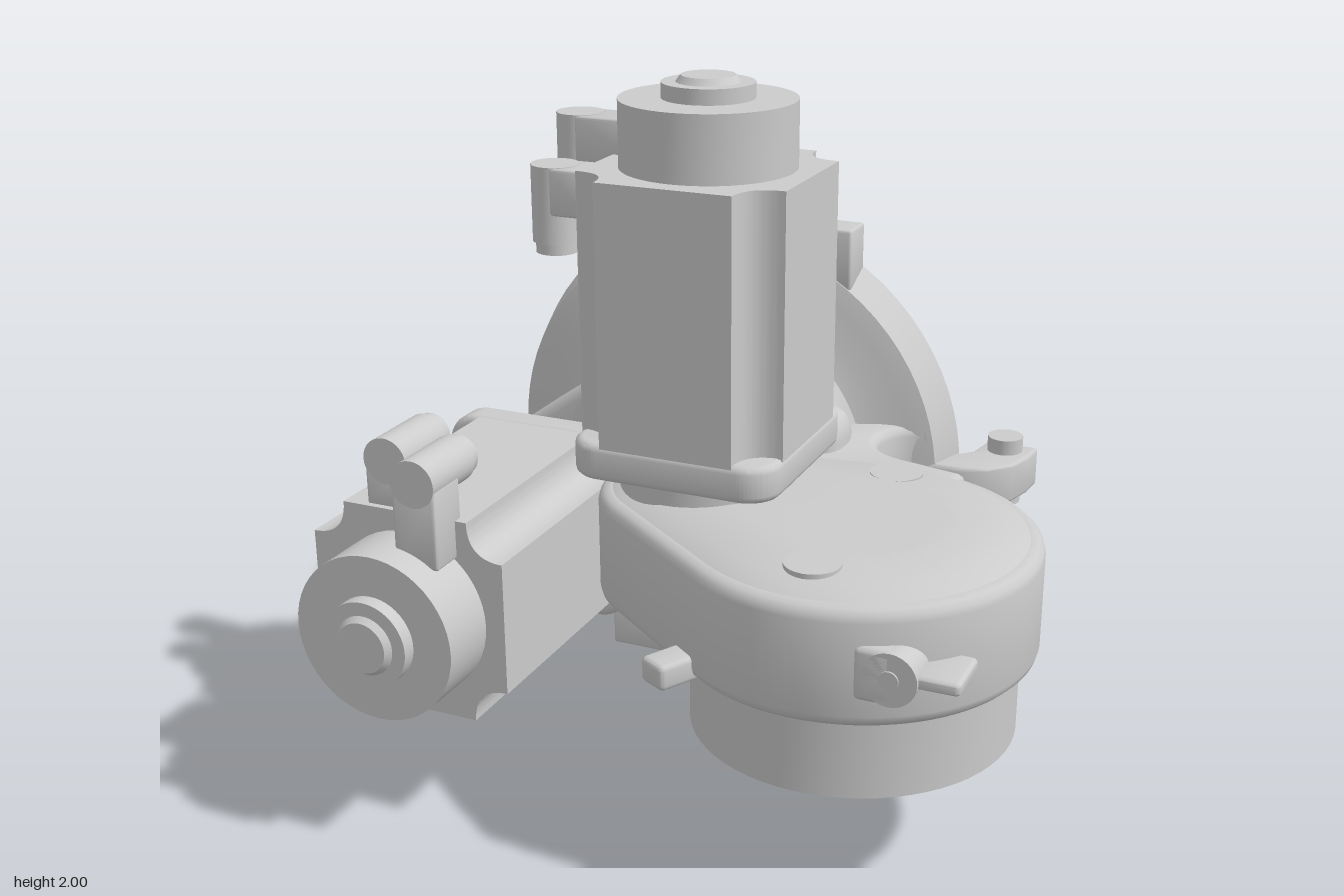
import * as THREE from 'three';
import { toCreasedNormals } from 'three/addons/utils/BufferGeometryUtils.js';
import { RoundedBoxGeometry } from 'three/addons/geometries/RoundedBoxGeometry.js';

const grey = new THREE.MeshStandardMaterial({ color: 0xcccccc });

function add(parent, name, geo, x = 0, y = 0, z = 0, crease = 0.6) {
  const mesh = new THREE.Mesh(toCreasedNormals(geo, crease), grey);
  mesh.name = name;
  mesh.position.set(x, y, z);
  parent.add(mesh);
  return mesh;
}

const box = (w, h, d, r = 0.02) => new RoundedBoxGeometry(w, h, d, 2, r);

// Cylinder along z from z0 to z1, or along y from y0 to y1
const cylZ = (r, z0, z1, n = 48) =>
  new THREE.CylinderGeometry(r, r, z1 - z0, n).rotateX(Math.PI / 2).translate(0, 0, (z0 + z1) / 2);
const cylY = (r, y0, y1, n = 48) =>
  new THREE.CylinderGeometry(r, r, y1 - y0, n).translate(0, (y0 + y1) / 2, 0);

// Extrusion between two z levels with rounded or chamfered rims
function slabZ(shape, z0, z1, size = 0, thick = size, steps = 3) {
  return new THREE.ExtrudeGeometry(shape, {
    depth: z1 - z0 - 2 * thick, curveSegments: 28, bevelEnabled: size > 0,
    bevelSize: size, bevelOffset: -size, bevelThickness: thick, bevelSegments: steps,
  }).translate(0, 0, z0 + thick);
}

// Same, with the outline drawn in x and z and raised along y
const slabY = (shape, y0, y1, ...bevel) => slabZ(shape, -y1, -y0, ...bevel).rotateX(Math.PI / 2);

// Outline wrapped around two circles
function hull(ax, ay, ar, bx, by, br) {
  const t = Math.atan2(by - ay, bx - ax);
  const f = Math.acos((ar - br) / Math.hypot(bx - ax, by - ay));
  const s = new THREE.Shape();
  s.absarc(bx, by, br, t - f, t + f, false);
  s.absarc(ax, ay, ar, t + f, t - f + 2 * Math.PI, false);
  return s;
}

const polygon = (pts) => new THREE.Shape(pts.map(([x, y]) => new THREE.Vector2(x, y)));

// Square with a concave groove at every corner
function groovedSquare(h, g) {
  const s = new THREE.Shape();
  s.moveTo(h - g, -h);
  for (let i = 0; i < 4; i++) {
    const a = (i * Math.PI) / 2, c = Math.cos(a), n = Math.sin(a);
    const p = (x, y) => [x * c - y * n, x * n + y * c];
    s.quadraticCurveTo(...p(h - g, -h + g), ...p(h, -h + g));
    s.lineTo(...p(h, h - g));
  }
  return s;
}

function roundedSquare(h, r) {
  const s = new THREE.Shape();
  [[1, -1], [1, 1], [-1, 1], [-1, -1]].forEach(([x, y], i) =>
    s.absarc(x * (h - r), y * (h - r), r, (i - 1) * Math.PI / 2, i * Math.PI / 2, false));
  return s;
}

// Motor along +z with its mounting face at z = 0 and plugs on +y
function motor(name) {
  const g = new THREE.Group();
  g.name = name;
  add(g, 'motorNeck', cylZ(0.24, -0.12, 0.02));
  add(g, 'motorFlange', slabZ(roundedSquare(0.288, 0.09), 0, 0.1, 0.02));
  add(g, 'motorBody', slabZ(groovedSquare(0.285, 0.1), 0.09, 0.79));
  add(g, 'motorCap', cylZ(0.23, 0.78, 0.965));
  add(g, 'capHub', cylZ(0.12, 0.96, 1.005));
  add(g, 'capButton', new THREE.CylinderGeometry(0.07, 0.085, 0.02, 40).rotateX(Math.PI / 2), 0, 0, 1.012);
  // Two elbow plugs pointing back along the body
  for (const [x, z, low] of [[-0.06, 0.71, 0.28], [0.09, 0.82, 0.18]]) {
    const e = new THREE.Group();
    e.name = 'elbowPlug';
    e.position.set(x, 0, z);
    add(e, 'plugStem', box(0.125, 0.4 - low, 0.125, 0.008), 0, (low + 0.4) / 2, 0);
    add(e, 'plugBend', cylZ(0.064, -0.14, 0.064, 28), 0, 0.41, 0);
    add(e, 'plugTip', cylZ(0.056, -0.17, -0.12, 28), 0, 0.41, 0);
    g.add(e);
  }
  return g;
}

export function createModel() {
  const model = new THREE.Group();
  model.name = 'twinGearUnit';

  // Large rear plate blending into its housing
  const CX = -0.23, CY = 0.74;
  const profile = [[0, -0.69], [0.7, -0.69], [0.72, -0.68], [0.68, -0.565], [0.62, -0.548], [0.54, -0.535],
    [0.48, -0.51], [0.45, -0.46], [0.435, -0.38], [0.425, -0.32], [0.4, -0.29], [0.36, -0.275], [0, -0.275]]
    .map(([r, h]) => new THREE.Vector2(r, h));
  add(model, 'rearHousing', new THREE.LatheGeometry(profile, 72).rotateX(Math.PI / 2), CX, CY, 0);
  add(model, 'rearDrum', cylZ(0.43, -0.8, -0.68, 64), CX + 0.01, CY, 0);
  add(model, 'rearHub', cylZ(0.23, -0.845, -0.79), CX + 0.01, CY, 0);
  add(model, 'rearMotorMount', slabZ(hull(-0.63, 0.63, 0.26, CX, CY, 0.4), -0.6, -0.29, 0.03));

  // Four square feet on the plate
  for (const x of [-0.515, 0.065])
    for (const y of [0.09, 1.38]) add(model, 'plateFoot', box(0.21, 0.18, 0.115, 0.008), x, y, -0.625);
  for (const y of [0.06, 1.41]) add(model, 'footBridge', box(0.4, 0.06, 0.09, 0.008), -0.225, y, -0.635);

  // Side arm with a bolt
  const arm = polygon([[0.4, -0.68], [0.49, -0.68], [0.52, -0.71], [0.54, -0.815], [0.69, -0.815], [0.685, -0.74],
    [0.66, -0.65], [0.6, -0.585], [0.53, -0.56], [0.4, -0.56]]);
  add(model, 'sideArm', slabY(arm, 0.68, 0.8, 0.01));
  add(model, 'armBolt', cylY(0.052, 0.64, 0.845, 24), 0.605, 0, -0.76);

  // Small eye at the lower edge of the plate
  const eye = polygon([[-0.72, 0.42], [-0.89, 0.4], [-0.9, 0.28], [-0.88, 0.22], [-0.83, 0.2], [-0.76, 0.22], [-0.6, 0.25]]);
  const hole = new THREE.Path();
  hole.absarc(-0.835, 0.255, 0.022, 0, Math.PI * 2, true);
  eye.holes.push(hole);
  add(model, 'plateEye', slabZ(eye, -0.68, -0.58));

  // Front housing with a shallow crowned lid
  const outline = (inset) => hull(0, 0.06, 0.3 - inset, 0.465, 0.18, 0.48 - inset);
  add(model, 'frontHousing', slabY(outline(0), 0.58, 0.895, 0.035));
  add(model, 'frontLid', slabY(outline(0.03), 0.84, 0.935, 0.2, 0.045, 2));
  const DX = 0.47, DZ = 0.19;
  add(model, 'frontDrum', cylY(0.43, 0.37, 0.6, 64), DX, 0, DZ);
  add(model, 'frontHub', cylY(0.23, 0.325, 0.38), DX, 0, DZ);
  for (const z of [-0.14, 0.5]) add(model, 'lidBolt', cylY(0.072, 0.86, 0.935, 28), 0.465, 0, z);

  // Neck joining both housings, with a swept fillet
  const neck = new THREE.Shape();
  neck.moveTo(-0.38, -0.5);
  neck.lineTo(0.2, -0.56);
  neck.lineTo(0.42, -0.56);
  neck.bezierCurveTo(0.29, -0.54, 0.27, -0.34, 0.44, -0.31);
  neck.lineTo(0.62, -0.27);
  neck.lineTo(0.6, 0.1);
  neck.lineTo(-0.2, 0.1);
  neck.lineTo(-0.3, -0.1);
  neck.quadraticCurveTo(-0.31, -0.26, -0.4, -0.28);
  add(model, 'housingNeck', slabY(neck, 0.57, 0.91, 0.03));
  add(model, 'neckShoulder', box(0.5, 0.5, 0.22, 0.08), 0, 0.76, -0.34);

  // Brackets and lugs around the front housing
  const bracket = polygon([[0.48, -0.2], [0.57, -0.28], [0.62, -0.375], [0.7, -0.35], [0.66, -0.25], [0.72, -0.15]]);
  add(model, 'sideBracket', slabY(bracket, 0.38, 0.79, 0.01));
  add(model, 'innerBlock', box(0.15, 0.2, 0.2, 0.04), -0.03, 0.47, -0.12);
  add(model, 'lowerLug', box(0.09, 0.07, 0.14, 0.015), 0.12, 0.61, 0.56).rotation.y = -0.5;
  const eyeLug = new THREE.Group();
  eyeLug.name = 'frontEyeLug';
  add(eyeLug, 'lugBlock', box(0.1, 0.14, 0.16, 0.015), 0.67, 0.735, 0.56);
  add(eyeLug, 'lugEnd', cylZ(0.07, 0.5, 0.64, 28), 0.71, 0.735, 0);
  add(eyeLug, 'lugPin', cylZ(0.025, 0.6, 0.645, 20), 0.71, 0.735, 0);
  add(eyeLug, 'lugHandle', box(0.14, 0.035, 0.16, 0.015), 0.81, 0.735, 0.55);
  model.add(eyeLug);

  // Motors
  const frontMotor = motor('lowerMotor');
  frontMotor.position.set(-0.63, 0.63, -0.2);
  const topMotor = motor('upperMotor');
  topMotor.quaternion.setFromRotationMatrix(new THREE.Matrix4().makeBasis(
    new THREE.Vector3(0, 0, -1), new THREE.Vector3(-1, 0, 0), new THREE.Vector3(0, 1, 0)));
  topMotor.position.set(0, 0.98, 0.06);
  model.add(frontMotor, topMotor);
  return model;
}
